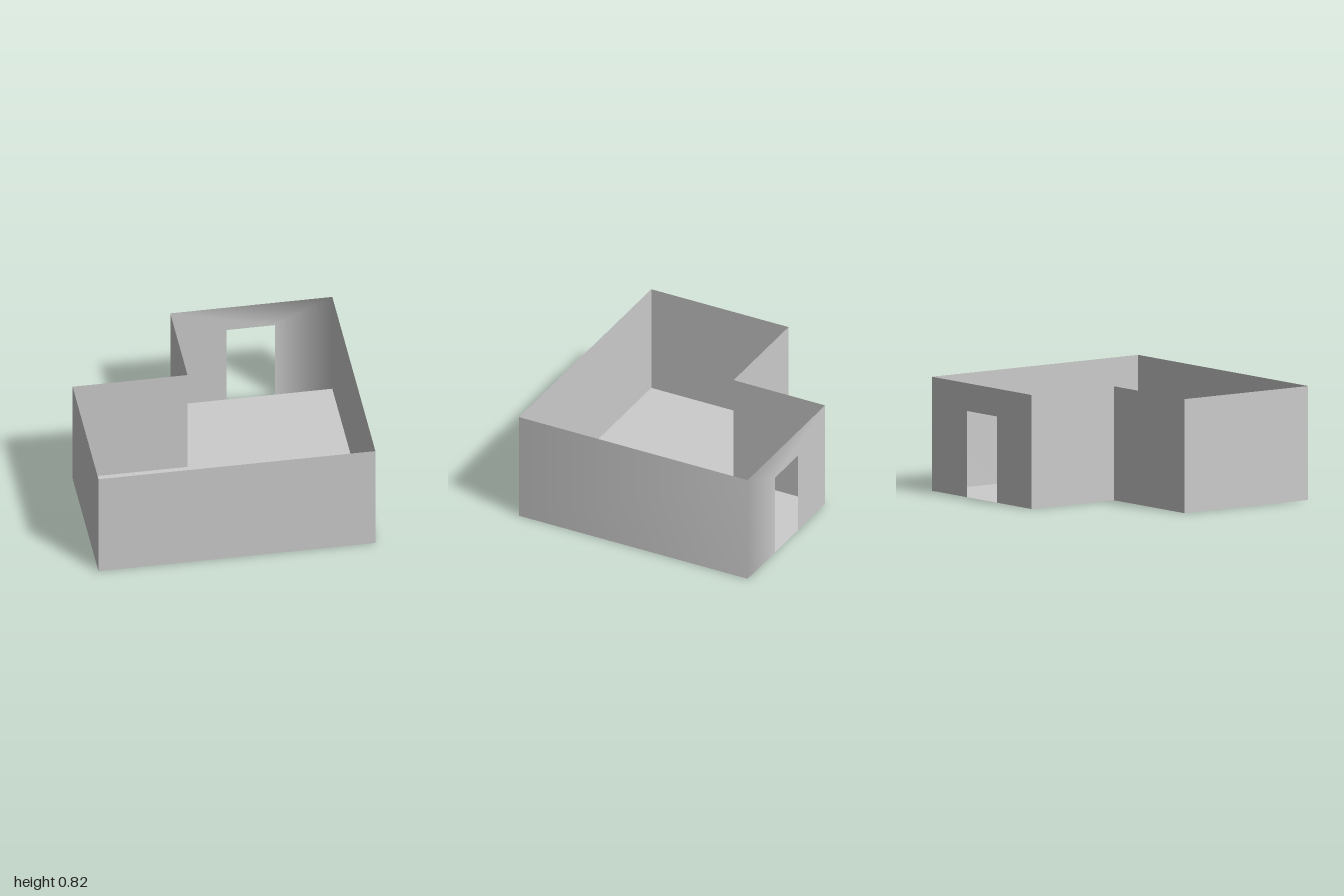
import * as THREE from 'three';
import { mergeGeometries, mergeVertices } from 'three/addons/utils/BufferGeometryUtils.js';

const HEIGHT = 0.82;
const DEPTH = 0.923; // half depth
const NOTCH_X = -0.17, NOTCH_Z = -0.185; // inner corner of the L plan
const DOOR = { left: 0.235, right: 0.587, top: 0.62 };

const shapeOf = (points) => new THREE.Shape(points.map(([x, y]) => new THREE.Vector2(x, y)));

// Thin upright wall from a to b ([x, z] each), facing the right-hand side of a to b
function wallGeometry(a, b) {
  const dx = b[0] - a[0], dz = b[1] - a[1];
  return new THREE.PlaneGeometry(Math.hypot(dx, dz), HEIGHT)
    .rotateY(Math.atan2(-dz, dx))
    .translate((a[0] + b[0]) / 2, HEIGHT / 2, (a[1] + b[1]) / 2);
}

export function createModel() {
  const group = new THREE.Group();
  const material = new THREE.MeshStandardMaterial({ color: 0xcccccc, side: THREE.DoubleSide });
  const add = (name, geometry) => {
    const mesh = new THREE.Mesh(geometry, material);
    mesh.name = name;
    group.add(mesh);
  };

  // L-shaped plan as [x, z]
  const plan = [
    [-1, DEPTH], [1, DEPTH], [1, -DEPTH],
    [NOTCH_X, -DEPTH], [NOTCH_X, NOTCH_Z], [-1, NOTCH_Z],
  ];

  // Floor
  add('floor', new THREE.ShapeGeometry(shapeOf(plan.map(([x, z]) => [x, -z]))).rotateX(-Math.PI / 2));

  // Plain walls
  const names = { frontWall: 0, notchSideWall: 3, notchBackWall: 4, leftWall: 5 };
  for (const [name, i] of Object.entries(names)) {
    add(name, wallGeometry(plan[i], plan[(i + 1) % plan.length]));
  }

  // Back wall with a doorway open to the floor, drawn as seen from behind
  const doorWall = new THREE.ShapeGeometry(shapeOf([
    [-1, 0], [-DOOR.right, 0], [-DOOR.right, DOOR.top], [-DOOR.left, DOOR.top],
    [-DOOR.left, 0], [-NOTCH_X, 0], [-NOTCH_X, HEIGHT], [-1, HEIGHT],
  ])).rotateY(Math.PI).translate(0, 0, -DEPTH);

  // The side wall and the door wall share a smooth-shaded corner
  const joined = mergeGeometries([wallGeometry(plan[1], plan[2]), doorWall]);
  joined.deleteAttribute('normal');
  joined.deleteAttribute('uv');
  const smooth = mergeVertices(joined);
  smooth.computeVertexNormals();
  add('sideAndDoorWalls', smooth);

  return group;
}
